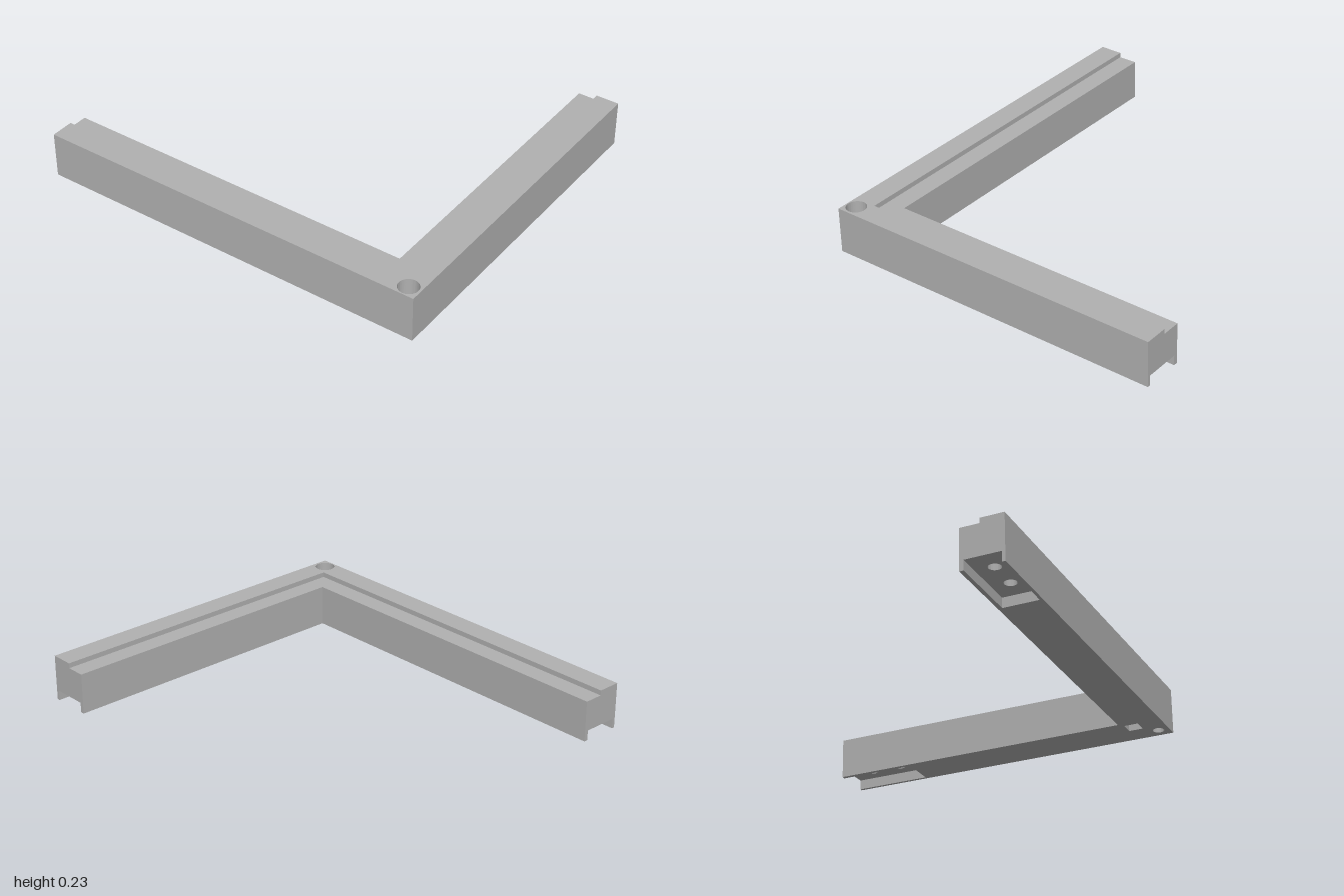
import * as THREE from 'three';
import { mergeGeometries, toCreasedNormals } from 'three/addons/utils/BufferGeometryUtils.js';

// Plan coordinates: u runs along the front arm, v along the side arm, from the outer corner.
const LU = 1.74, LV = 2, W = 0.21, RIDGE = 0.115;
const Y_POCKET = 0.05, Y_BORE = 0.13, Y_LEDGE = 0.205, Y_TOP = 0.23;
const LIP_OUT = 0.015, LIP_IN = 0.19, POCKET = 0.385;

const poly = (pts) => new THREE.Shape(pts.map(([u, v]) => new THREE.Vector2(u, v)));
const rect = (u0, v0, u1, v1) => poly([[u0, v0], [u1, v0], [u1, v1], [u0, v1]]);
const circle = (u, v, r) => new THREE.Shape().absarc(u, v, r, 0, Math.PI * 2, false);
const ell = (w) => poly([[0, 0], [LU, 0], [LU, w], [w, w], [w, LV], [0, LV]]);
const pierce = (shape, holes) => { shape.holes.push(...holes); return shape; };

// Lay a plan geometry down at height y
const place = (geo, y) => geo.rotateX(-Math.PI / 2).translate(-LU / 2, y, LV / 2);

// Upright walls of an outline, without caps
function walls(shape, y0, y1) {
  const ext = new THREE.ExtrudeGeometry(shape, { depth: y1 - y0, bevelEnabled: false, curveSegments: 32 });
  const side = ext.groups.find((g) => g.materialIndex === 1);
  const pos = ext.attributes.position.array.slice(side.start * 3, (side.start + side.count) * 3);
  const geo = new THREE.BufferGeometry();
  geo.setAttribute('position', new THREE.BufferAttribute(pos, 3));
  return place(geo, y0);
}

// Level face looking up or down
function face(shape, y, down = false) {
  const src = new THREE.ShapeGeometry(shape, 32);
  if (down) src.index.array.reverse();
  const geo = src.toNonIndexed();
  geo.deleteAttribute('uv');
  geo.deleteAttribute('normal');
  return place(geo, y);
}

export function createModel() {
  const group = new THREE.Group();
  group.name = 'cornerBracket';
  const grey = new THREE.MeshStandardMaterial({ color: 0xb0b0b0 });
  grey.name = 'grey';

  const add = (name, geos) => {
    const mesh = new THREE.Mesh(toCreasedNormals(mergeGeometries(geos), 0.5), grey);
    mesh.name = name;
    group.add(mesh);
  };

  // Corner bolt hole, square socket and the screw holes in each pocket
  const bolt = () => circle(0.055, 0.06, 0.028);
  const bore = () => circle(0.055, 0.06, 0.049);
  const socket = () => rect(0.117, 0.115, 0.187, 0.185);
  const offsets = [0.115, 0.275];
  const frontScrews = () => offsets.map((d) => circle(LU - d, 0.1, 0.03));
  const sideScrews = () => offsets.map((d) => circle(0.1, LV - d, 0.03));
  const blind = () => [...frontScrews(), ...sideScrews(), socket()];

  // Foot, notched by a pocket open at the end of each arm
  const foot = pierce(poly([
    [0, 0], [LU, 0], [LU, LIP_OUT], [LU - POCKET, LIP_OUT], [LU - POCKET, LIP_IN], [LU, LIP_IN],
    [LU, W], [W, W], [W, LV], [LIP_IN, LV], [LIP_IN, LV - POCKET], [LIP_OUT, LV - POCKET],
    [LIP_OUT, LV], [0, LV],
  ]), [bolt(), socket()]);
  add('foot', [walls(foot, 0, Y_POCKET), face(foot, 0, true)]);

  // Pocket ceilings
  add('pocketCeilings', [
    face(pierce(rect(LU - POCKET, LIP_OUT, LU, LIP_IN), frontScrews()), Y_POCKET, true),
    face(pierce(rect(LIP_OUT, LV - POCKET, LIP_IN, LV), sideScrews()), Y_POCKET, true),
  ]);

  // Middle of the arms, with the blind holes
  add('armCore', [walls(pierce(ell(W), [bolt(), ...blind()]), Y_POCKET, Y_BORE)]);
  add('blindHoleEnds', blind().map((s) => face(s, Y_BORE, true)));

  // Upper part of the arms, the counterbore seat and the inner ledge
  const ledge = poly([[LU, RIDGE], [LU, W], [W, W], [W, LV], [RIDGE, LV], [RIDGE, RIDGE]]);
  add('armTop', [walls(pierce(ell(W), [bore()]), Y_BORE, Y_LEDGE), face(ledge, Y_LEDGE)]);
  add('counterboreSeat', [face(pierce(bore(), [bolt()]), Y_BORE)]);

  // Raised outer ridge
  const ridge = pierce(ell(RIDGE), [bore()]);
  add('outerRidge', [walls(ridge, Y_LEDGE, Y_TOP), face(ridge, Y_TOP)]);

  return group;
}
